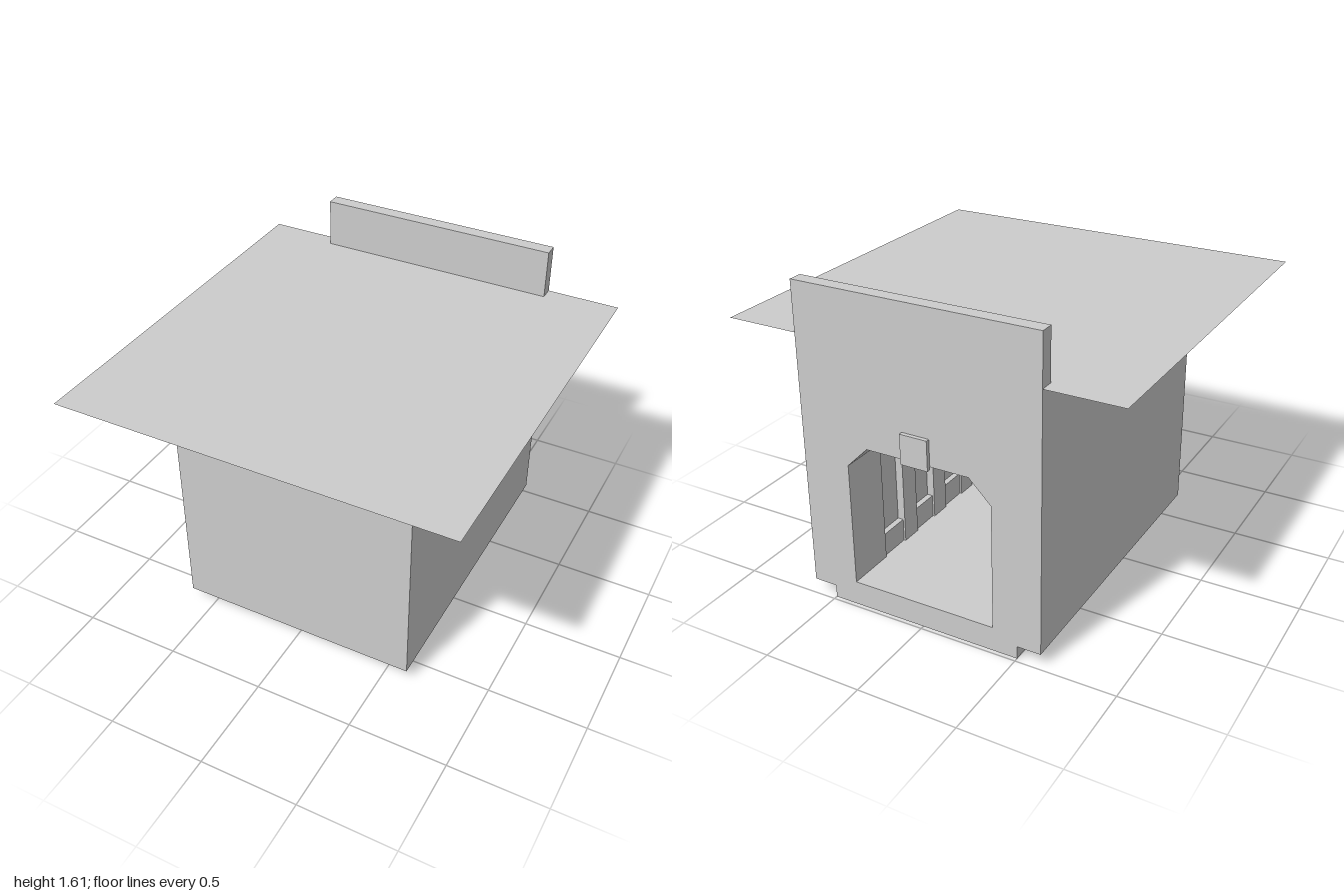
import * as THREE from 'three';

export function createModel() {
  const model = new THREE.Group();
  const stone = new THREE.MeshStandardMaterial({ color: 0xcccccc });
  stone.name = 'grey stone';
  const sheet = new THREE.MeshStandardMaterial({ color: 0xcccccc, side: THREE.DoubleSide });
  sheet.name = 'grey sheet';

  const add = (name, geometry, material = stone) => {
    const mesh = new THREE.Mesh(geometry, material);
    mesh.name = name;
    model.add(mesh);
    return mesh;
  };
  // Box given by its limits on each axis
  const box = (name, x0, x1, y0, y1, z0, z1) =>
    add(name, new THREE.BoxGeometry(x1 - x0, y1 - y0, z1 - z0))
      .position.set((x0 + x1) / 2, (y0 + y1) / 2, (z0 + z1) / 2);

  // Rectangular slab pierced by a doorway with chamfered upper corners
  const FLOOR = 0.125;
  const frame = (name, halfWidth, y0, y1, z0, z1, grow = 0) => {
    const shape = new THREE.Shape([
      new THREE.Vector2(-halfWidth, y0), new THREE.Vector2(halfWidth, y0),
      new THREE.Vector2(halfWidth, y1), new THREE.Vector2(-halfWidth, y1),
    ]);
    const w = 0.375 + grow, top = 0.865 + grow, c = 0.11;
    shape.holes.push(new THREE.Path([
      new THREE.Vector2(-w, FLOOR), new THREE.Vector2(-w, top - c),
      new THREE.Vector2(-w + c, top), new THREE.Vector2(w - c, top),
      new THREE.Vector2(w, top - c), new THREE.Vector2(w, FLOOR),
    ]));
    add(name, new THREE.ExtrudeGeometry(shape, { depth: z1 - z0, bevelEnabled: false }))
      .position.z = z0;
  };

  // Foundation, outer walls and the facade with its raised parapet
  box('foundation', -0.5, 0.5, 0, 0.065, -0.98, 0.51);
  for (const s of [-1, 1]) {
    box('sideWall', s > 0 ? 0.6 : -0.62, s > 0 ? 0.62 : -0.6, 0.065, 1.355, -0.91, 0.63);
  }
  box('frontWall', -0.6, 0.6, 0.065, 1.355, 0.5, 0.63);
  frame('facade', 0.62, 0.065, 1.61, -0.98, -0.91);
  box('keystone', -0.07, 0.07, 0.85, 1.0, -1.0, -0.98);

  // Wide flat roof sheet
  const roof = add('roofSheet', new THREE.PlaneGeometry(1.98, 1.98).rotateX(-Math.PI / 2), sheet);
  roof.position.set(0, 1.36, 0.01);

  // Passage: an entry arch, then recessed bays alternating with ribs
  frame('entryArch', 0.6, 0.065, 1.35, -0.91, -0.73);
  let z = -0.73;
  for (let i = 0; i < 5; i++) {
    const bayEnd = i < 4 ? -0.56 + i * 0.27 : 0.5;
    frame('passageBay', 0.6, 0.065, 1.35, z, bayEnd, 0.04);
    for (const s of [-1, 1]) {
      const x = s * 0.4;
      box('skirting', x - 0.015, x + 0.015, FLOOR, FLOOR + 0.12, z, bayEnd);
    }
    if (i < 4) frame('passageRib', 0.6, 0.065, 1.35, bayEnd, bayEnd + 0.11);
    z = bayEnd + 0.11;
  }
  return model;
}
